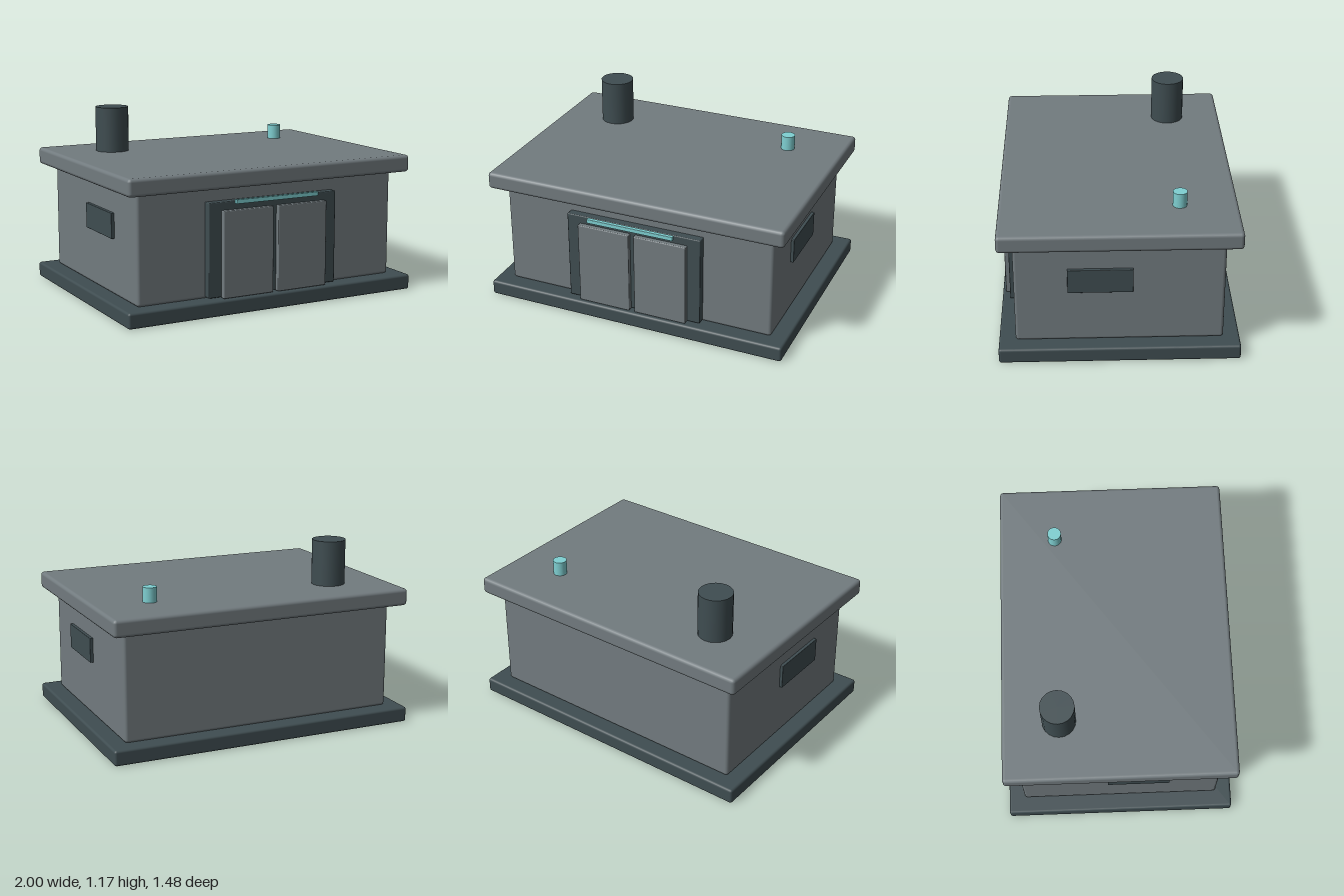
import * as THREE from 'three';
import { RoundedBoxGeometry } from 'three/addons/geometries/RoundedBoxGeometry.js';

export function createModel() {
  const model = new THREE.Group();
  model.name = 'building';

  const material = (name, color) => {
    const m = new THREE.MeshStandardMaterial({ color });
    m.name = name;
    return m;
  };
  const wallGrey = material('wallGrey', 0x727b7f);
  const darkSlate = material('darkSlate', 0x3f4d51);
  const paleTeal = material('paleTeal', 0x7fd0d2);

  const add = (name, geometry, mat, x, y, z) => {
    const mesh = new THREE.Mesh(geometry, mat);
    mesh.name = name;
    mesh.position.set(x, y, z);
    model.add(mesh);
  };

  // Bevelled box given by its lower and upper corners
  const block = (name, mat, [x0, y0, z0], [x1, y1, z1], bevel) => add(
    name, new RoundedBoxGeometry(x1 - x0, y1 - y0, z1 - z0, 2, bevel), mat,
    (x0 + x1) / 2, (y0 + y1) / 2, (z0 + z1) / 2);

  // Upright cylinder standing on the roof
  const post = (name, mat, radius, y0, y1, x, z) => add(
    name, new THREE.CylinderGeometry(radius, radius, y1 - y0, 20), mat,
    x, (y0 + y1) / 2, z);

  // Main masses
  block('foundation', darkSlate, [-1, 0, -0.74], [1, 0.097, 0.74], 0.015);
  block('walls', wallGrey, [-0.897, 0.095, -0.638], [0.897, 0.78, 0.638], 0.02);
  block('roof', wallGrey, [-0.985, 0.773, -0.728], [0.985, 0.882, 0.728], 0.022);

  // Entrance with double doors and a light bar above
  block('doorFrame', darkSlate, [-0.448, 0.105, 0.58], [0.448, 0.69, 0.689], 0.006);
  block('lightBar', paleTeal, [-0.287, 0.68, 0.717], [0.287, 0.706, 0.741], 0.002);

  for (const side of [-1, 1]) {
    const label = side > 0 ? 'left' : 'right';
    block(label + 'Door', wallGrey,
      [side * 0.19 - 0.173, 0.1, 0.66], [side * 0.19 + 0.173, 0.639, 0.72], 0.006);
    // Side windows
    block(label + 'Window', darkSlate,
      [side * 0.897 - 0.02, 0.45, -0.081], [side * 0.897 + 0.02, 0.609, 0.315], 0.003);
  }

  // Roof fittings
  post('chimney', darkSlate, 0.107, 0.86, 1.17, -0.604, -0.372);
  post('beacon', paleTeal, 0.044, 0.86, 0.976, 0.626, -0.372);

  return model;
}
